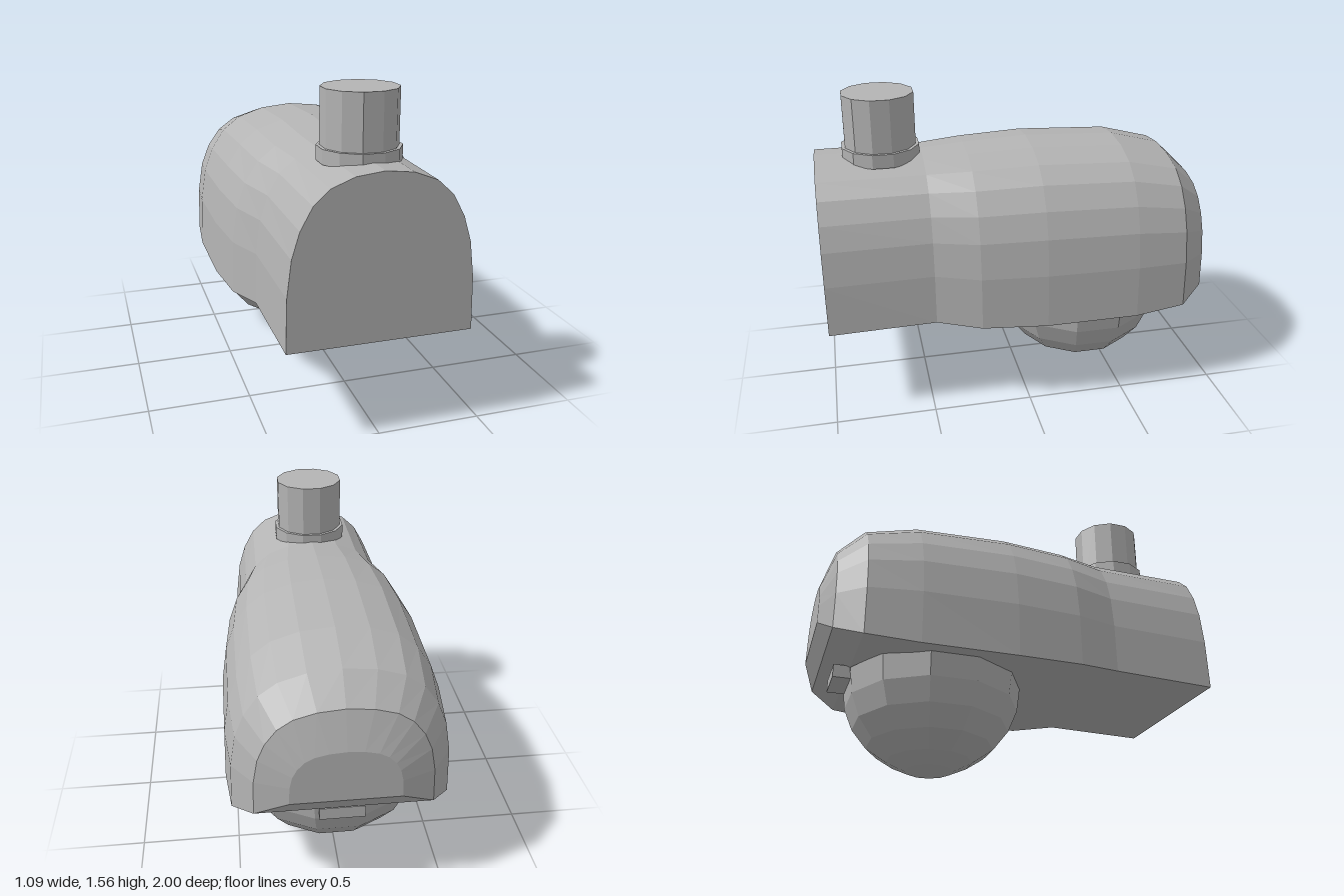
import * as THREE from 'three';

const grey = new THREE.MeshStandardMaterial({ color: 0xb4b4b4, flatShading: true });
grey.name = 'grey';

// Arched outline, right half: x as a share of half width, y as a share of height
const half = [[1, 0], [0.985, 0.33], [0.935, 0.55], [0.85, 0.705], [0.72, 0.837], [0.55, 0.925], [0.3, 0.98]];
const arch = [...half, [0, 1], ...half.map(([x, y]) => [-x, y]).reverse()];

// Housing stations from front to back: z, half width, bottom, top
const stations = [
  [1, 0.44, 0.47, 1.255],
  [0.47, 0.45, 0.487, 1.255],
  [0.25, 0.52, 0.465, 1.272],
  [-0.08, 0.547, 0.455, 1.287],
  [-0.55, 0.545, 0.455, 1.267],
  [-0.81, 0.52, 0.475, 1.2],
  [-0.94, 0.42, 0.53, 1.075],
  [-1, 0.26, 0.62, 0.89],
];

function housingGeometry() {
  const n = arch.length;
  const pos = [];
  const index = [];
  for (const [z, w, bottom, top] of stations) {
    for (const [x, y] of arch) pos.push(x * w, bottom + y * (top - bottom), z);
  }
  // Shell and floor: the last step of each ring closes along the bottom
  for (let i = 0; i < stations.length - 1; i++) {
    for (let j = 0; j < n; j++) {
      const a = i * n + j;
      const b = i * n + ((j + 1) % n);
      index.push(a, a + n, b, b, a + n, b + n);
    }
  }
  // Flat end caps
  const last = (stations.length - 1) * n;
  for (let j = 1; j < n - 1; j++) {
    index.push(0, j, j + 1);
    index.push(last, last + j + 1, last + j);
  }
  const g = new THREE.BufferGeometry();
  g.setAttribute('position', new THREE.Float32BufferAttribute(pos, 3));
  g.setIndex(index);
  g.computeVertexNormals();
  return g;
}

export function createModel() {
  const group = new THREE.Group();
  const add = (name, geometry, x, y, z) => {
    const mesh = new THREE.Mesh(geometry, grey);
    mesh.name = name;
    mesh.position.set(x, y, z);
    group.add(mesh);
    return mesh;
  };
  const twelveSided = (r, h) => new THREE.CylinderGeometry(r, r, h, 12, 1, false, Math.PI / 12);

  add('housing', housingGeometry(), 0, 0, 0);

  // Faceted bowl under the housing
  const bowl = [[0, 0], [0.26, 0.02], [0.47, 0.065], [0.7, 0.135], [0.865, 0.23], [0.965, 0.34], [1, 0.47]];
  const bowlGeometry = new THREE.LatheGeometry(bowl.map(([r, y]) => new THREE.Vector2(r, y)), 12, Math.PI / 12);
  add('lampBowl', bowlGeometry, 0, 0, -0.372).scale.set(0.49, 1, 0.452);

  // Upright pipe and its collar
  add('mountPipe', twelveSided(0.181, 0.36), 0, 1.38, 0.67);
  add('pipeCollar', twelveSided(0.198, 0.07), 0, 1.26, 0.67);

  // Small catch behind the bowl
  add('latch', new THREE.BoxGeometry(0.22, 0.065, 0.1), 0, 0.45, -0.84);

  return group;
}
